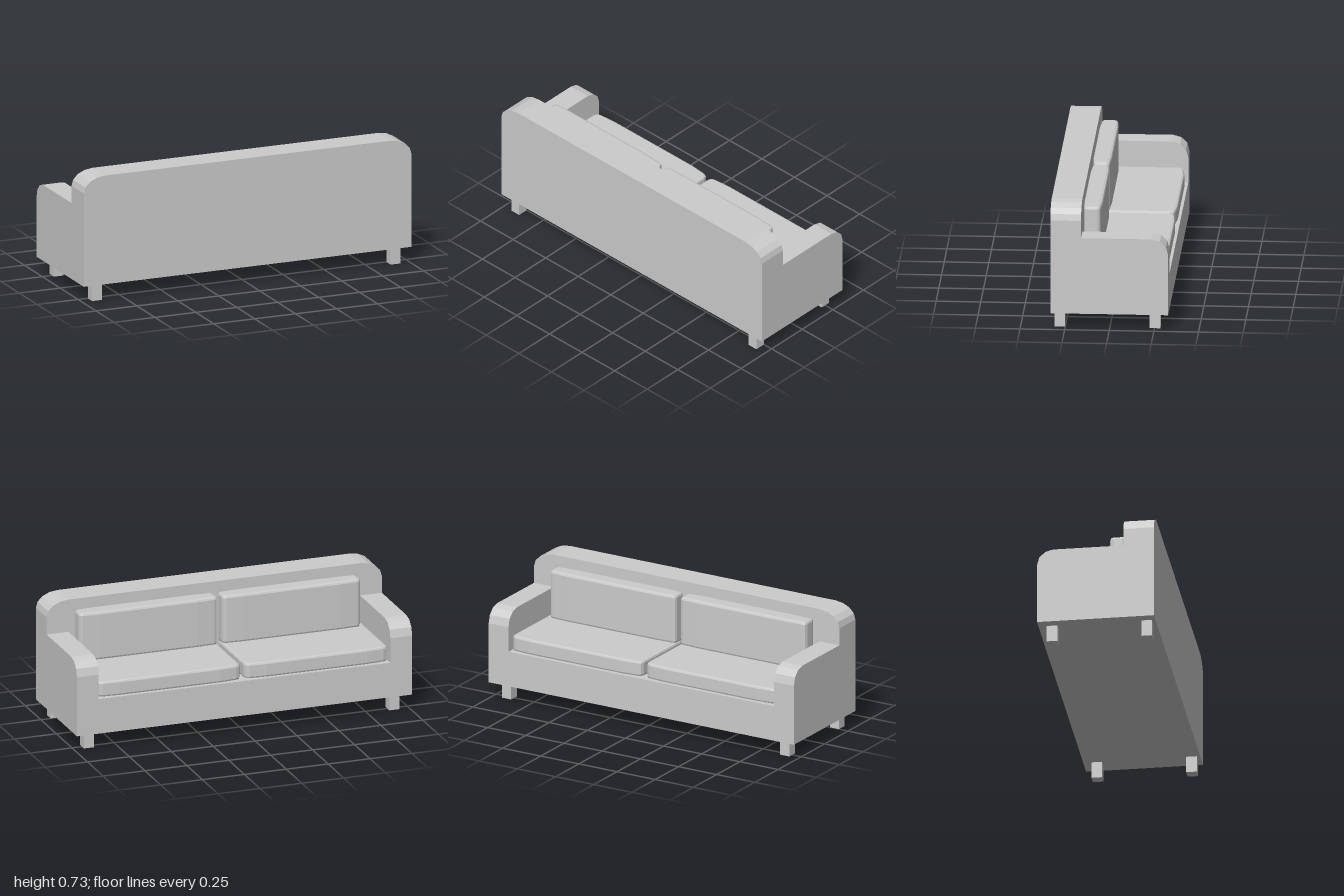
import * as THREE from 'three';

const material = new THREE.MeshStandardMaterial({ color: 0xcccccc, flatShading: true });

function addMesh(group, name, geometry, x = 0, y = 0, z = 0) {
  const mesh = new THREE.Mesh(geometry, material);
  mesh.name = name;
  mesh.position.set(x, y, z);
  group.add(mesh);
  return mesh;
}

// Points of a faceted quarter ellipse, from angle a0 to a0 + 90 degrees
function corner(cx, cy, rx, ry, a0, steps = 3) {
  const points = [];
  for (let i = 0; i <= steps; i++) {
    const a = a0 + (i / steps) * Math.PI / 2;
    points.push(new THREE.Vector2(cx + rx * Math.cos(a), cy + ry * Math.sin(a)));
  }
  return points;
}

// Soft block w * h * d standing on y = 0, with gently bowed sides and bevelled rims
function cushionGeometry(w, h, d, bow, r, bevel) {
  const x = w / 2 - bevel, z = d / 2 - bevel;
  const outline = [];
  const signs = [[1, 1], [-1, 1], [-1, -1], [1, -1]];
  signs.forEach(([sx, sz], i) => {
    const arc = corner(sx * (x - r), sz * (z - bow - r), r, r, i * Math.PI / 2, 2);
    const crown = new THREE.Vector2(sx * x * 0.72, sz * z);
    outline.push(...(i % 2 === 0 ? [...arc, crown] : [crown, ...arc]));
  });
  const geometry = new THREE.ExtrudeGeometry(new THREE.Shape(outline), {
    depth: h - 2 * bevel, bevelEnabled: true, bevelThickness: bevel,
    bevelSize: bevel, bevelSegments: 2,
  });
  return geometry.translate(0, 0, bevel).rotateX(-Math.PI / 2);
}

export function createModel() {
  const sofa = new THREE.Group();
  sofa.name = 'sofa';
  const bottom = 0.095, backZ = 0.158, edgeZ = 0.33;

  // Backrest panel with rounded upper corners
  const backShape = new THREE.Shape([
    new THREE.Vector2(-1, bottom), new THREE.Vector2(1, bottom),
    ...corner(0.87, 0.638, 0.13, 0.09, 0, 4),
    ...corner(-0.87, 0.638, 0.13, 0.09, Math.PI / 2, 4),
  ]);
  addMesh(sofa, 'backrest', new THREE.ExtrudeGeometry(backShape,
    { depth: edgeZ - backZ, bevelEnabled: false }), 0, 0, backZ);

  // Seat base between the arms
  const armWidth = 0.13, inner = 1 - armWidth, seatY = 0.3;
  addMesh(sofa, 'seatBase', new THREE.BoxGeometry(inner * 2, seatY - bottom, edgeZ + backZ),
    0, (seatY + bottom) / 2, (backZ - edgeZ) / 2);

  // Arm side profile, turned so that its length runs along z
  const armShape = new THREE.Shape([
    new THREE.Vector2(-backZ, bottom), new THREE.Vector2(edgeZ, bottom),
    ...corner(edgeZ - 0.092, 0.445, 0.092, 0.092, 0),
    new THREE.Vector2(-backZ, 0.537),
  ]);
  const armGeometry = new THREE.ExtrudeGeometry(armShape, { depth: armWidth, bevelEnabled: false })
    .rotateY(Math.PI / 2).translate(-armWidth / 2, 0, 0);

  const seatGeometry = cushionGeometry(0.854, 0.09, 0.468, 0.008, 0.02, 0.012);
  const pillowGeometry = cushionGeometry(0.825, 0.285, 0.104, 0.005, 0.01, 0.014);
  const legGeometry = new THREE.BoxGeometry(0.06, bottom, 0.06);

  // Mirrored parts
  for (const [side, s] of [['left', 1], ['right', -1]]) {
    addMesh(sofa, side + 'Arm', armGeometry, s * (1 - armWidth / 2));
    addMesh(sofa, side + 'SeatCushion', seatGeometry, s * 0.439, seatY, -0.082);
    addMesh(sofa, side + 'BackCushion', pillowGeometry, s * 0.427, 0.385, 0.105);
    addMesh(sofa, side + 'LegBehind', legGeometry, s * 0.911, bottom / 2, 0.281);
    addMesh(sofa, side + 'LegSeatSide', legGeometry, s * 0.911, bottom / 2, -0.253);
  }
  return sofa;
}
